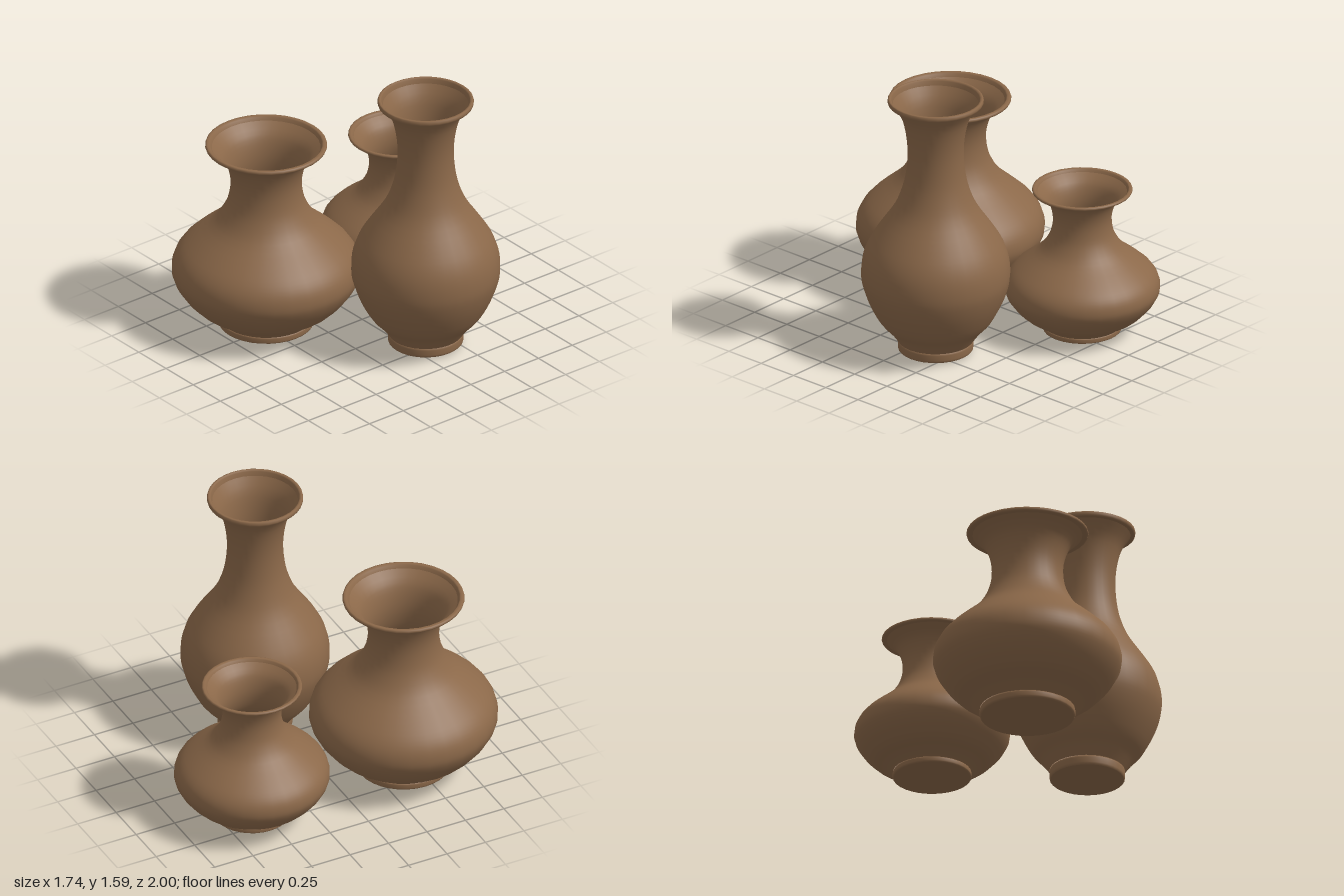
import * as THREE from 'three';

const clay = new THREE.MeshStandardMaterial({ color: 0x8b6849, side: THREE.DoubleSide });
clay.name = 'brown clay';

const SEGMENTS = 32;
const vec = ([r, h]) => new THREE.Vector2(r, h);

// Shared profile: radius as a fraction of the belly, height as a fraction of the vase
const bodyCurve = new THREE.SplineCurve([
  [0.505, 0.037], [0.62, 0.08], [0.76, 0.123], [0.9, 0.195], [0.98, 0.26], [1, 0.31],
  [0.975, 0.367], [0.9, 0.422], [0.765, 0.482], [0.56, 0.565], [0.45, 0.64], [0.395, 0.71],
  [0.377, 0.79], [0.402, 0.865], [0.465, 0.93], [0.58, 0.981],
].map(vec));

const profiles = {
  base: [[0, 0], [0.49, 0]].map(vec),
  foot: [[0.49, 0], [0.502, 0.003], [0.507, 0.01], [0.507, 0.029], [0.502, 0.035], [0.49, 0.037]].map(vec),
  body: bodyCurve.getPoints(45),
  rim: [[0.58, 0.981], [0.625, 0.981], [0.64, 0.983], [0.646, 0.99], [0.64, 0.998],
    [0.628, 1], [0.605, 1], [0.592, 0.995], [0.575, 0.979]].map(vec),
};

function makeVase(name, radius, height, x, y, z) {
  const vase = new THREE.Group();
  vase.name = name;
  for (const [part, points] of Object.entries(profiles)) {
    const scaled = points.map((p) => new THREE.Vector2(p.x * radius, p.y * height));
    const mesh = new THREE.Mesh(new THREE.LatheGeometry(scaled, SEGMENTS), clay);
    mesh.name = part;
    vase.add(mesh);
  }
  vase.position.set(x, y, z);
  return vase;
}

export function createModel() {
  const group = new THREE.Group();
  group.name = 'vases';
  group.add(
    makeVase('wideVase', 0.546, 1.174, -0.325, 0.003, 0.449),
    makeVase('tallVase', 0.431, 1.584, 0.435, 0.012, -0.12),
    makeVase('smallVase', 0.45, 0.889, -0.351, 0.002, -0.55),
  );
  return group;
}
